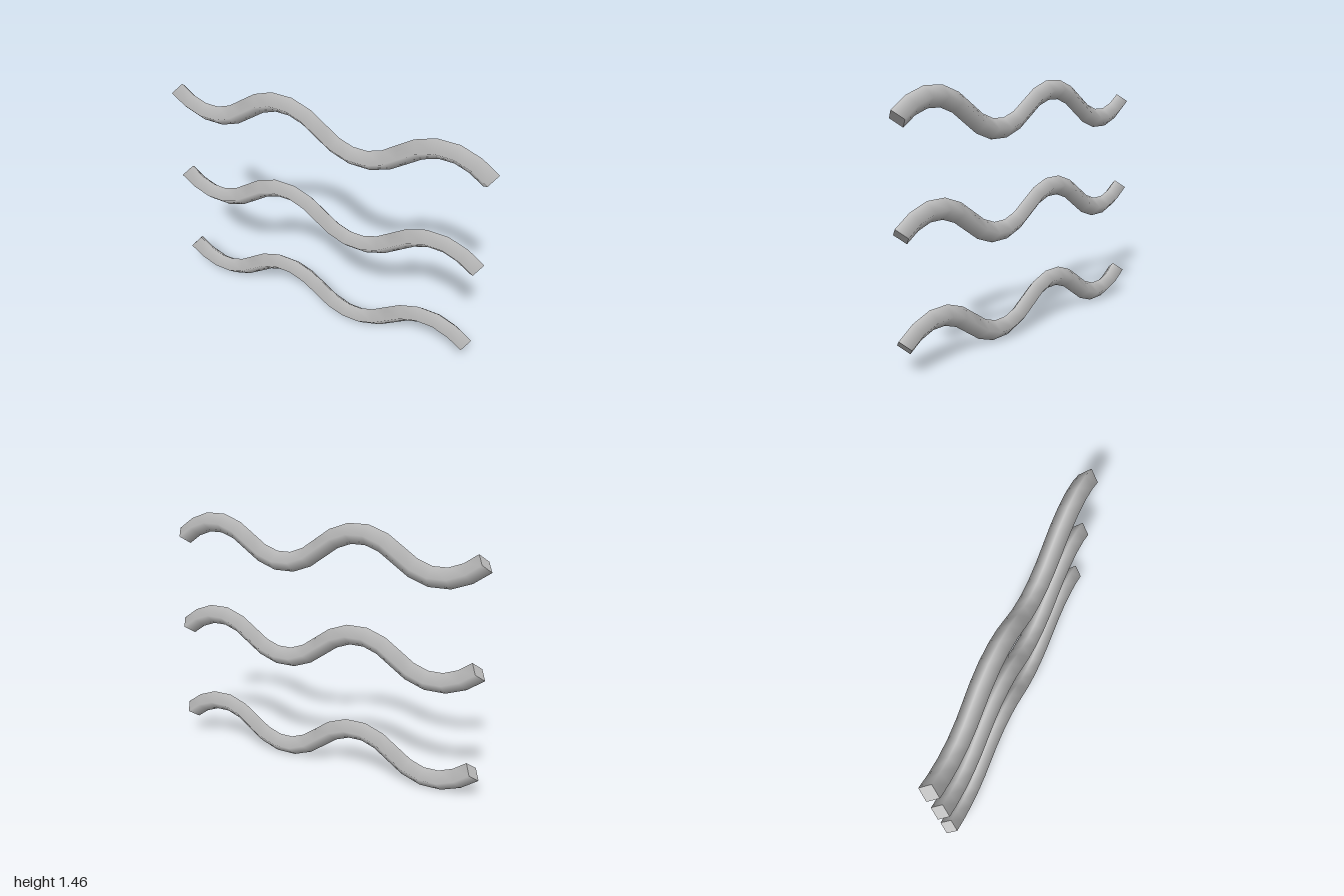
import * as THREE from 'three';

const END = 0.963, HALF_WAVE = END / 2, AMP = 0.101, RADIUS = 0.058;

// Two full waves made of alternating parabolic arcs
class WaveCurve extends THREE.Curve {
  getPoint(t, target = new THREE.Vector3()) {
    const s = t * 4;
    const arc = Math.min(3, Math.floor(s));
    const u = s - arc;
    const sign = arc % 2 ? 1 : -1;
    return target.set(-END + s * HALF_WAVE, sign * 4 * AMP * u * (1 - u), 0);
  }
}

export function createModel() {
  const group = new THREE.Group();
  const grey = new THREE.MeshStandardMaterial({ color: 0xc0c0c0 });
  grey.name = 'grey';

  // Four-sided tube with smooth normals
  const tube = new THREE.TubeGeometry(new WaveCurve(), 20, RADIUS, 4, false);
  const endAngle = -Math.atan(4 * AMP / HALF_WAVE);

  // Flat diamond closing each end, square to the path
  const cap = (side) => new THREE.CircleGeometry(RADIUS, 4)
    .rotateY(side * Math.PI / 2)
    .rotateZ(endAngle)
    .translate(side * END, 0, 0);
  const caps = { rightCap: cap(-1), leftCap: cap(1) };

  // Three identical waves stacked vertically
  ['lowerWave', 'middleWave', 'upperWave'].forEach((name, i) => {
    const wave = new THREE.Group();
    wave.name = name;
    const parts = { waveBar: tube, ...caps };
    for (const [part, geometry] of Object.entries(parts)) {
      const mesh = new THREE.Mesh(geometry, grey);
      mesh.name = part;
      wave.add(mesh);
    }
    wave.position.y = 0.155 + i * 0.578;
    group.add(wave);
  });
  return group;
}
